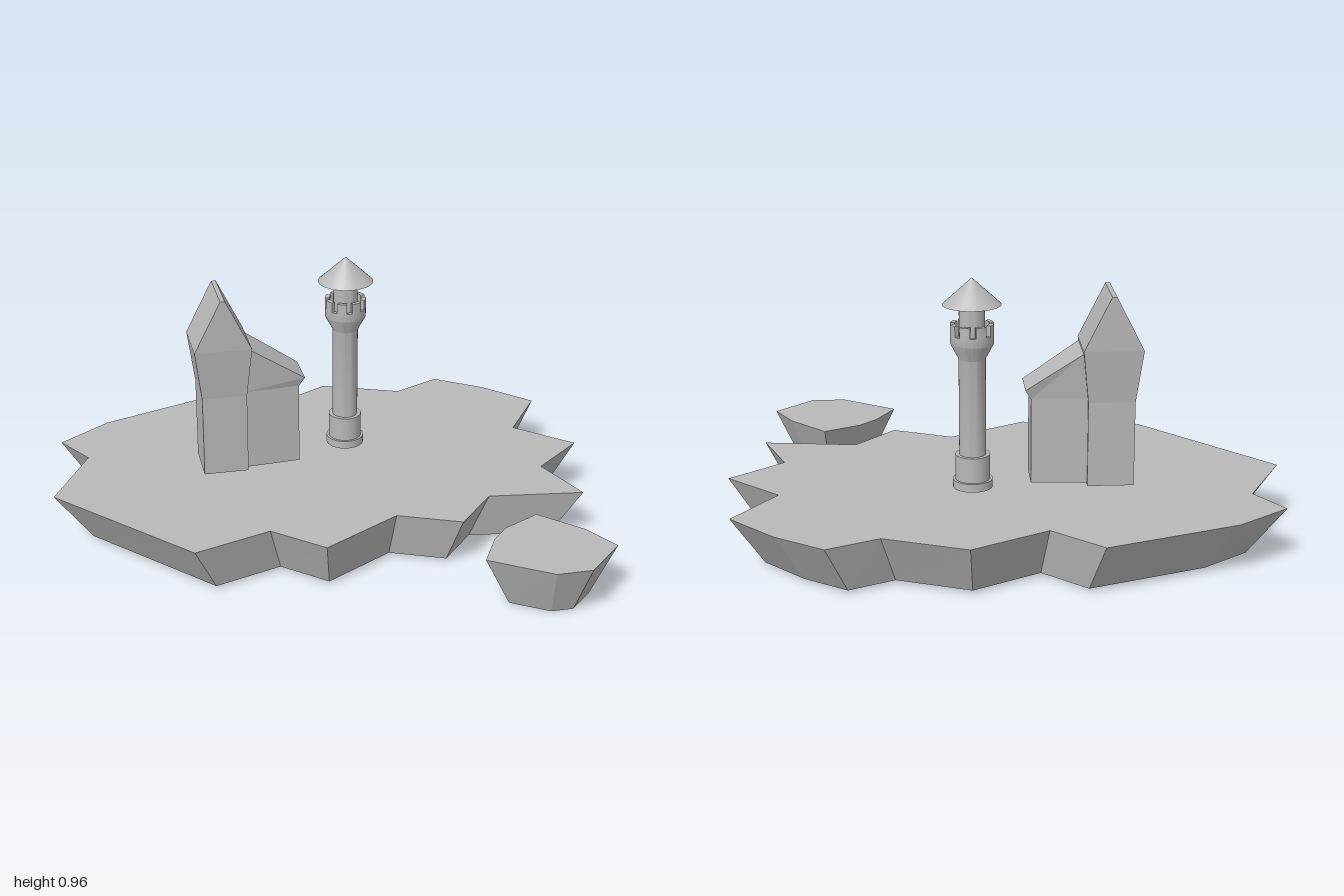
import * as THREE from 'three';
import { toCreasedNormals } from 'three/addons/utils/BufferGeometryUtils.js';

const stone = new THREE.MeshStandardMaterial({ color: 0xb8b8b8 });
stone.name = 'stone grey';

function part(name, geometry) {
  const mesh = new THREE.Mesh(geometry, stone);
  mesh.name = name;
  return mesh;
}

// Closed flat-shaded solid through rings of [x, y, z] points, bottom to top.
function loft(rings) {
  const flat = (r) => r.map(([x, , z]) => new THREE.Vector2(x, -z));
  if (THREE.ShapeUtils.area(flat(rings[0])) < 0) rings = rings.map((r) => [...r].reverse());
  const pos = [];
  const tri = (a, b, c) => pos.push(...a, ...b, ...c);
  const n = rings[0].length;
  for (let k = 0; k < rings.length - 1; k++) {
    for (let i = 0; i < n; i++) {
      const j = (i + 1) % n, lo = rings[k], hi = rings[k + 1];
      tri(lo[i], lo[j], hi[j]);
      tri(lo[i], hi[j], hi[i]);
    }
  }
  const bottom = rings[0], top = rings[rings.length - 1];
  for (const [a, b, c] of THREE.ShapeUtils.triangulateShape(flat(bottom), [])) tri(bottom[a], bottom[c], bottom[b]);
  for (const [a, b, c] of THREE.ShapeUtils.triangulateShape(flat(top), [])) tri(top[a], top[b], top[c]);
  const g = new THREE.BufferGeometry();
  g.setAttribute('position', new THREE.Float32BufferAttribute(pos, 3));
  g.computeVertexNormals();
  return g;
}

// Island slab: outline at the top, scaled and shifted copy at the bottom.
function island(outline, yBottom, yTop, sx, dx, sz, dz) {
  return loft([
    outline.map(([x, z]) => [x * sx + dx, yBottom, z * sz + dz]),
    outline.map(([x, z]) => [x, yTop, z]),
  ]);
}

// Four-cornered ring with its own height and half depth at each x end.
function section(x0, y0, h0, x1, y1, h1, z) {
  return [[x0, y0, z - h0], [x1, y1, z - h1], [x1, y1, z + h1], [x0, y0, z + h0]];
}

function turned(points) {
  const profile = points.map(([r, y]) => new THREE.Vector2(r, y));
  return toCreasedNormals(new THREE.LatheGeometry(profile, 32), 0.5);
}

export function createModel() {
  const model = new THREE.Group();
  model.name = 'islandWithTower';

  // Ground
  model.add(part('mainIsland', island([
    [-1, -0.08], [-0.85, -0.37], [-0.94, -0.52], [-0.75, -0.66], [-0.28, -0.83], [-0.11, -0.67],
    [0.16, -0.82], [0.45, -0.705], [0.63, -0.79], [0.8, -0.67], [0.96, -0.5], [0.81, -0.28],
    [1, -0.1], [0.81, 0.06], [0.895, 0.29], [0.55, 0.245], [0.405, 0.41], [0.185, 0.315],
    [-0.105, 0.485], [-0.275, 0.33], [-0.555, 0.425],
  ], 0.01, 0.19, 0.875, 0.01, 0.88, -0.013)));
  model.add(part('smallIsland', island([
    [0.675, 0.41], [0.81, 0.55], [0.88, 0.68], [0.74, 0.82],
    [0.61, 0.82], [0.405, 0.68], [0.475, 0.55], [0.54, 0.48],
  ], 0, 0.19, 0.61, 0.253, 0.595, 0.262)));

  // House: tall gabled block and a lean-to beside it
  const z = -0.205;
  const level = (x0, x1, y, h) => section(x0, y, h, x1, y, h, z);
  model.add(part('tallHouse', loft([
    level(-0.44, -0.275, 0.203, 0.088),
    level(-0.44, -0.275, 0.51, 0.088),
    level(-0.465, -0.255, 0.7, 0.106),
    level(-0.367, -0.35, 0.892, 0.106),
  ])));
  model.add(part('leanTo', loft([
    section(-0.276, 0.213, 0.079, -0.077, 0.213, 0.065, z),
    section(-0.276, 0.52, 0.079, -0.077, 0.52, 0.065, z),
    section(-0.256, 0.688, 0.092, -0.056, 0.555, 0.075, z),
  ])));

  // Round tower
  const tower = new THREE.Group();
  tower.name = 'roundTower';
  tower.position.set(0.128, 0, -0.275);
  tower.add(part('towerBody', turned([
    [0, 0.207], [0.07, 0.207], [0.07, 0.237], [0.061, 0.237], [0.061, 0.328], [0.047, 0.328],
    [0.047, 0.675], [0.076, 0.73], [0.076, 0.762], [0.06, 0.762], [0.06, 0.745],
    [0.045, 0.745], [0.045, 0.868],
  ])));
  tower.add(part('towerRoof', turned([[0, 0.866], [0.102, 0.866], [0, 0.96]])));

  // Battlements
  const count = 8, half = (Math.PI / count) * 0.65;
  const arc = new THREE.Shape();
  arc.absarc(0, 0, 0.076, -half, half, false);
  arc.absarc(0, 0, 0.06, half, -half, true);
  const merlon = toCreasedNormals(
    new THREE.ExtrudeGeometry(arc, { depth: 0.038, bevelEnabled: false, curveSegments: 5 }).rotateX(-Math.PI / 2), 0.5);
  for (let i = 0; i < count; i++) {
    const m = part('merlon', merlon);
    m.position.y = 0.762;
    m.rotation.y = ((i + 0.5) / count) * Math.PI * 2;
    tower.add(m);
  }
  model.add(tower);
  return model;
}
